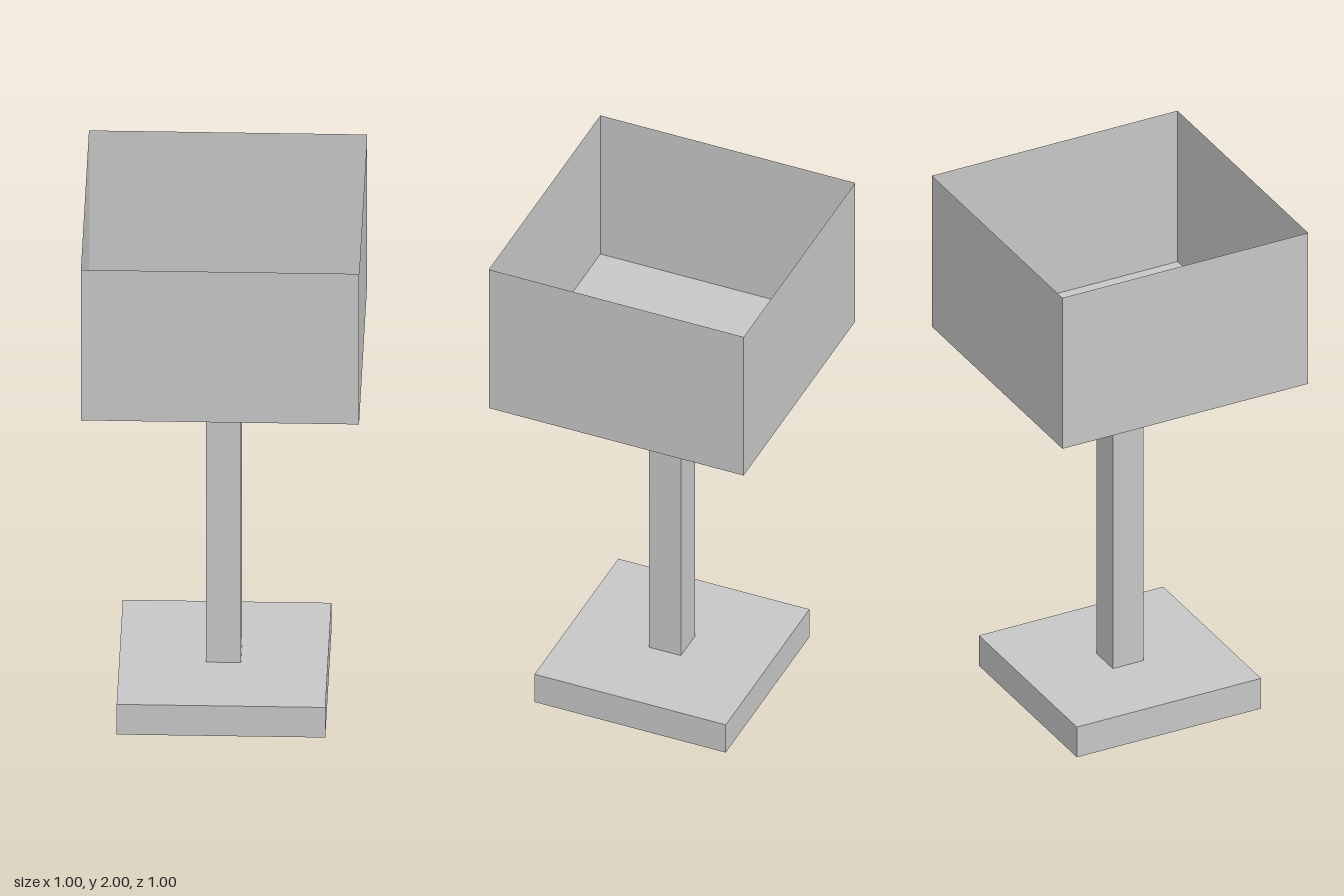
import * as THREE from 'three';

export function createModel() {
  const model = new THREE.Group();
  model.name = 'tableLamp';

  const grey = new THREE.MeshStandardMaterial({ color: 0xc6c6c6, side: THREE.DoubleSide });
  grey.name = 'plain grey';

  function add(parent, name, geometry, x, y, z) {
    const mesh = new THREE.Mesh(geometry, grey);
    mesh.name = name;
    mesh.position.set(x, y, z);
    parent.add(mesh);
    return mesh;
  }

  // Square foot and post
  add(model, 'base', new THREE.BoxGeometry(0.75, 0.125, 0.75), 0, 0.0625, 0);
  add(model, 'post', new THREE.BoxGeometry(0.125, 1.25, 0.125), 0, 0.75, 0);

  // Thin-walled shade, open at the top, closed underneath
  const width = 1, height = 0.625, bottom = 1.375;
  const shade = new THREE.Group();
  shade.name = 'shade';
  shade.position.y = bottom;
  model.add(shade);

  ['Front', 'Left', 'Back', 'Right'].forEach((side, i) => {
    const angle = i * Math.PI / 2;
    const wall = add(shade, 'shade' + side, new THREE.PlaneGeometry(width, height),
      Math.sin(angle) * width / 2, height / 2, Math.cos(angle) * width / 2);
    wall.rotation.y = angle;
  });
  const floor = add(shade, 'shadeBottom', new THREE.PlaneGeometry(width, width), 0, 0, 0);
  floor.rotation.x = Math.PI / 2;

  return model;
}
